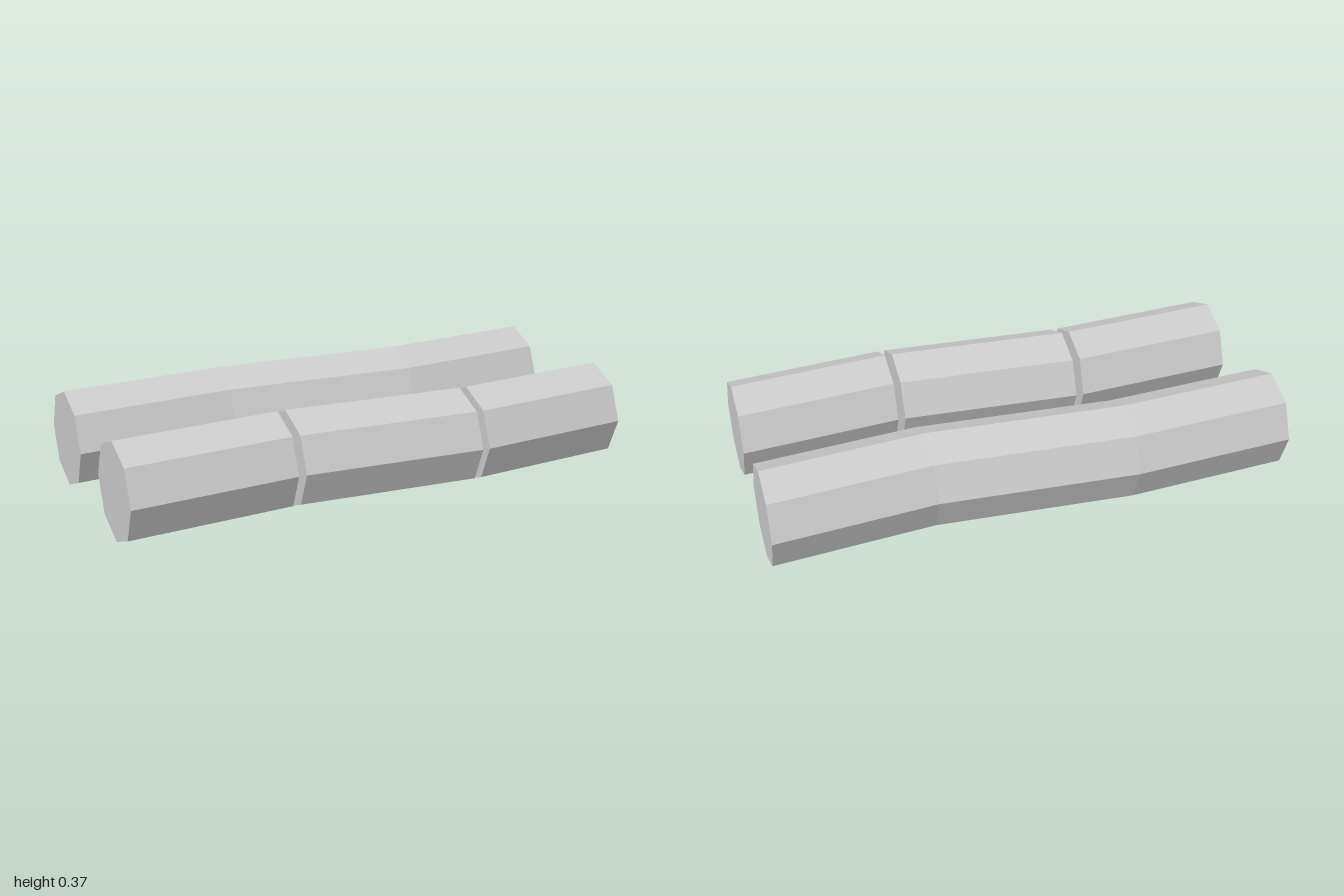
import * as THREE from 'three';

const RADIUS = 0.187;
const SIDES = 8;
const material = new THREE.MeshStandardMaterial({ color: 0xcccccc, flatShading: true });

// Octagonal log along x; each station [x, z] places one upright cross-section
function makeLog(name, stations) {
  const spans = stations.length - 1;
  const geometry = new THREE.CylinderGeometry(RADIUS, RADIUS, spans, SIDES, spans);
  geometry.rotateZ(-Math.PI / 2);
  const pos = geometry.attributes.position;
  for (let i = 0; i < pos.count; i++) {
    const [x, z] = stations[Math.round(pos.getX(i) + spans / 2)];
    pos.setXYZ(i, x, pos.getY(i) + RADIUS + 0.001, pos.getZ(i) + z);
  }
  geometry.computeVertexNormals();
  const mesh = new THREE.Mesh(geometry, material);
  mesh.name = name;
  return mesh;
}

export function createModel() {
  const model = new THREE.Group();
  model.name = 'logs';

  // Unbroken bent log at the back
  model.add(makeLog('backLog', [[-1, -0.273], [-0.37, -0.316], [0.387, -0.271], [1, -0.327]]));

  // Front log, cut into three pieces at its bends
  const frontLog = new THREE.Group();
  frontLog.name = 'frontLog';
  frontLog.add(
    makeLog('rightPiece', [[-1, 0.321], [-0.368, 0.277]]),
    makeLog('middlePiece', [[-0.338, 0.277], [0.358, 0.32]]),
    makeLog('leftPiece', [[0.386, 0.32], [1, 0.267]])
  );
  model.add(frontLog);
  return model;
}
